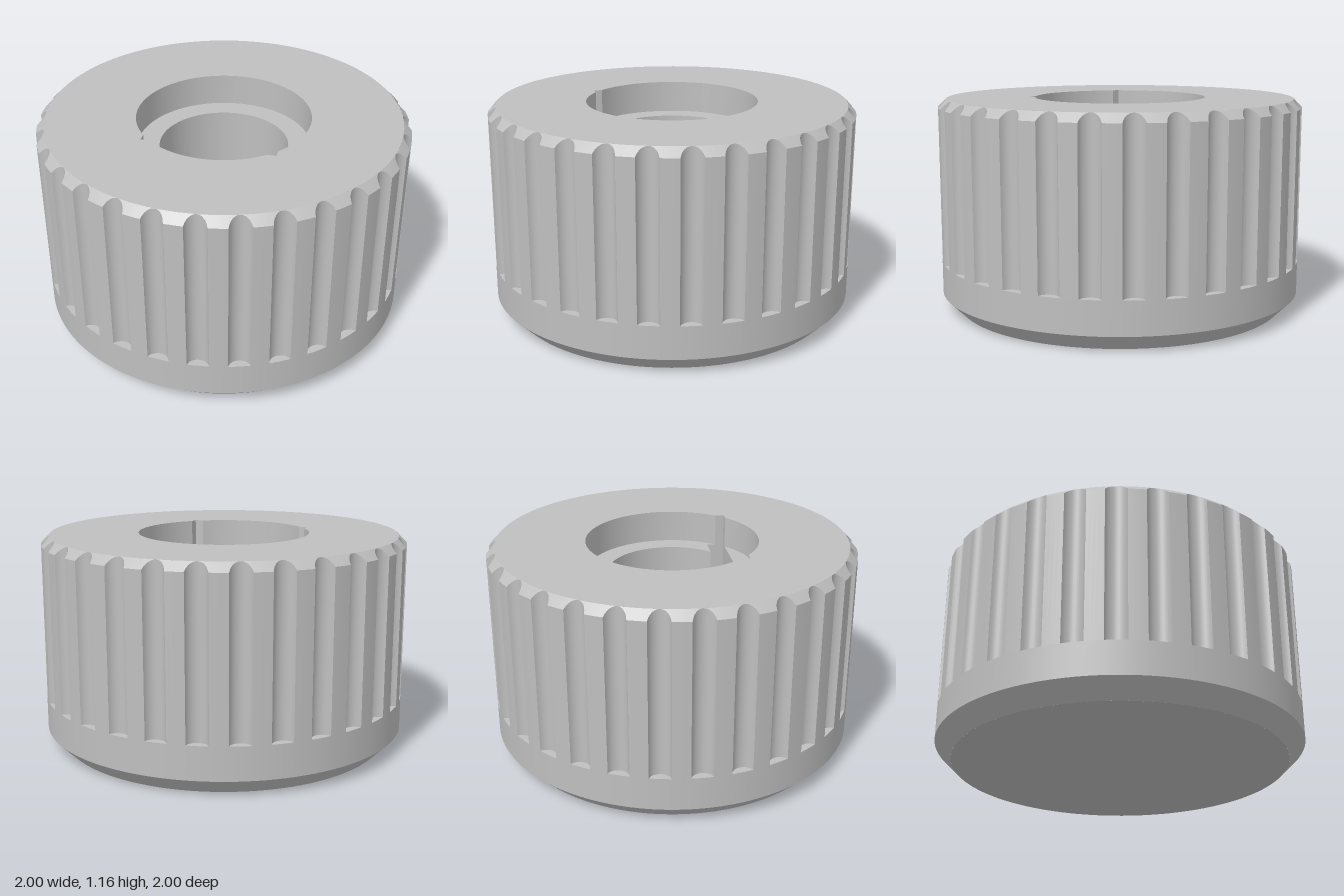
import * as THREE from 'three';
import { toCreasedNormals } from 'three/addons/utils/BufferGeometryUtils.js';

// Heights of the knob
const TOP = 1.16, LEDGE = 0.985, STEP = 0.6, SLOT = 0.35, BORE = 0.2;
const FLUTES = 30;

// Arc points in plan; plan coordinates are (x, -z), counter-clockwise from above
function arc(r, a0, a1, n) {
  const pts = [];
  for (let i = 0; i <= n; i++) {
    const a = a0 + (a1 - a0) * i / n;
    pts.push(new THREE.Vector2(r * Math.cos(a), r * Math.sin(a)));
  }
  return pts;
}
const circle = (r, n) => arc(r, 0, Math.PI * 2, n).slice(0, -1);
const P = (x, v) => new THREE.Vector2(x, v);

// Triangle soup with creased normals; skips empty triangles
function soup(build) {
  const pos = [];
  const area = new THREE.Triangle();
  const tri = (a, b, c) => {
    if (area.set(a, b, c).getArea() > 1e-9) for (const p of [a, b, c]) pos.push(p.x, p.y, p.z);
  };
  build((a, b, c, d) => { tri(a, b, c); tri(a, c, d); });
  const g = new THREE.BufferGeometry();
  g.setAttribute('position', new THREE.Float32BufferAttribute(pos, 3));
  return toCreasedNormals(g, 0.6);
}

// Vertical wall around a cavity, facing inwards
function cavityWall(outline, y0, y1) {
  return soup((quad) => outline.forEach((p, i) => {
    const q = outline[(i + 1) % outline.length];
    const at = (o, y) => new THREE.Vector3(o.x, y, -o.y);
    quad(at(q, y0), at(p, y0), at(p, y1), at(q, y1));
  }));
}

// Horizontal face looking up
function floor(outline, y, hole) {
  const s = new THREE.Shape(outline);
  if (hole) s.holes.push(new THREE.Path(hole));
  return new THREE.ShapeGeometry(s).rotateX(-Math.PI / 2).translate(0, y, 0);
}

// Fluted outer skin with a chamfer at the top and bottom
function gripSkin() {
  const c = 1.014, rho = 0.059;
  const phiMax = Math.acos((c * c + rho * rho - 1) / (2 * c * rho));
  const halfAngle = Math.atan2(rho * Math.sin(phiMax), c - rho * Math.cos(phiMax));
  const pitch = Math.PI * 2 / FLUTES;
  const columns = [];
  for (let k = 0; k < FLUTES; k++) {
    for (let i = 0; i <= 12; i++) {
      const phi = phiMax * (i / 6 - 1);
      const x = c - rho * Math.cos(phi), z = rho * Math.sin(phi);
      columns.push([k * pitch + Math.atan2(z, x), Math.min(1, Math.hypot(x, z))]);
    }
    for (let i = 1; i < 4; i++) {
      columns.push([k * pitch + halfAngle + (pitch - 2 * halfAngle) * i / 4, 1]);
    }
  }
  const rings = columns.map(([a, f]) => [
    [0.91, 0], [1, 0.09], [1, 0.27], [f, 0.27], [f, 1.115 + 1 - f], [0.955, TOP],
  ].map(([r, y]) => new THREE.Vector3(r * Math.cos(a), y, -r * Math.sin(a))));
  return soup((quad) => rings.forEach((p, i) => {
    const q = rings[(i + 1) % rings.length];
    for (let j = 0; j < p.length - 1; j++) quad(p[j], q[j], q[j + 1], p[j + 1]);
  }));
}

export function createModel() {
  const group = new THREE.Group();
  const grey = new THREE.MeshStandardMaterial({ color: 0xbfbfbf });
  grey.name = 'grey';
  const add = (name, geometry) => {
    const m = new THREE.Mesh(geometry, grey);
    m.name = name;
    group.add(m);
  };

  // Cavity outlines: slot rectangle, recess, round bore and D-shaped bore
  const w = 0.355, near = -0.26, far = -0.355;
  const R = 0.47, r = 0.35, rd = 0.345, flat = -0.165;
  const side = Math.acos(w / R), back = Math.asin(-far / R);
  const cut = Math.asin(near / r), dCut = Math.asin(flat / rd);
  const rect = [P(-w, far), P(w, far), P(w, near), P(-w, near)];
  const recessArc = arc(R, -side, Math.PI + side, 72);
  const rearArc = arc(R, Math.PI + back, Math.PI * 2 - back, 24);
  const recess = [...recessArc, P(-w, far), ...rearArc, P(w, far)];
  const boreArc = arc(r, cut, Math.PI - cut, 72);
  const bore = [...boreArc, P(-w, near), P(-w, far), P(w, far), P(w, near)];
  const dBore = arc(rd, dCut, Math.PI - dCut, 64);

  // Outside
  add('flutedGrip', gripSkin());
  add('topFace', floor(circle(0.955, 120), TOP, recess));
  add('baseFace', new THREE.CircleGeometry(0.91, 120).rotateX(Math.PI / 2));

  // Recess with its ledge
  add('recessWall', cavityWall(recess, LEDGE, TOP));
  add('recessLedge', floor([...recessArc, P(-w, near), ...boreArc.slice().reverse(), P(w, near)], LEDGE));
  add('recessRearLedge', floor(rearArc, LEDGE));

  // Bore, flat step, D-shaped shaft hole and clip slot
  add('boreWall', cavityWall(bore, STEP, LEDGE));
  add('boreStep', floor(boreArc, STEP, dBore));
  add('shaftHoleWall', cavityWall(dBore, BORE, STEP));
  add('shaftHoleFloor', floor(dBore, BORE));
  add('clipSlotWall', cavityWall(rect, SLOT, STEP));
  add('clipSlotFloor', floor(rect, SLOT));
  return group;
}
